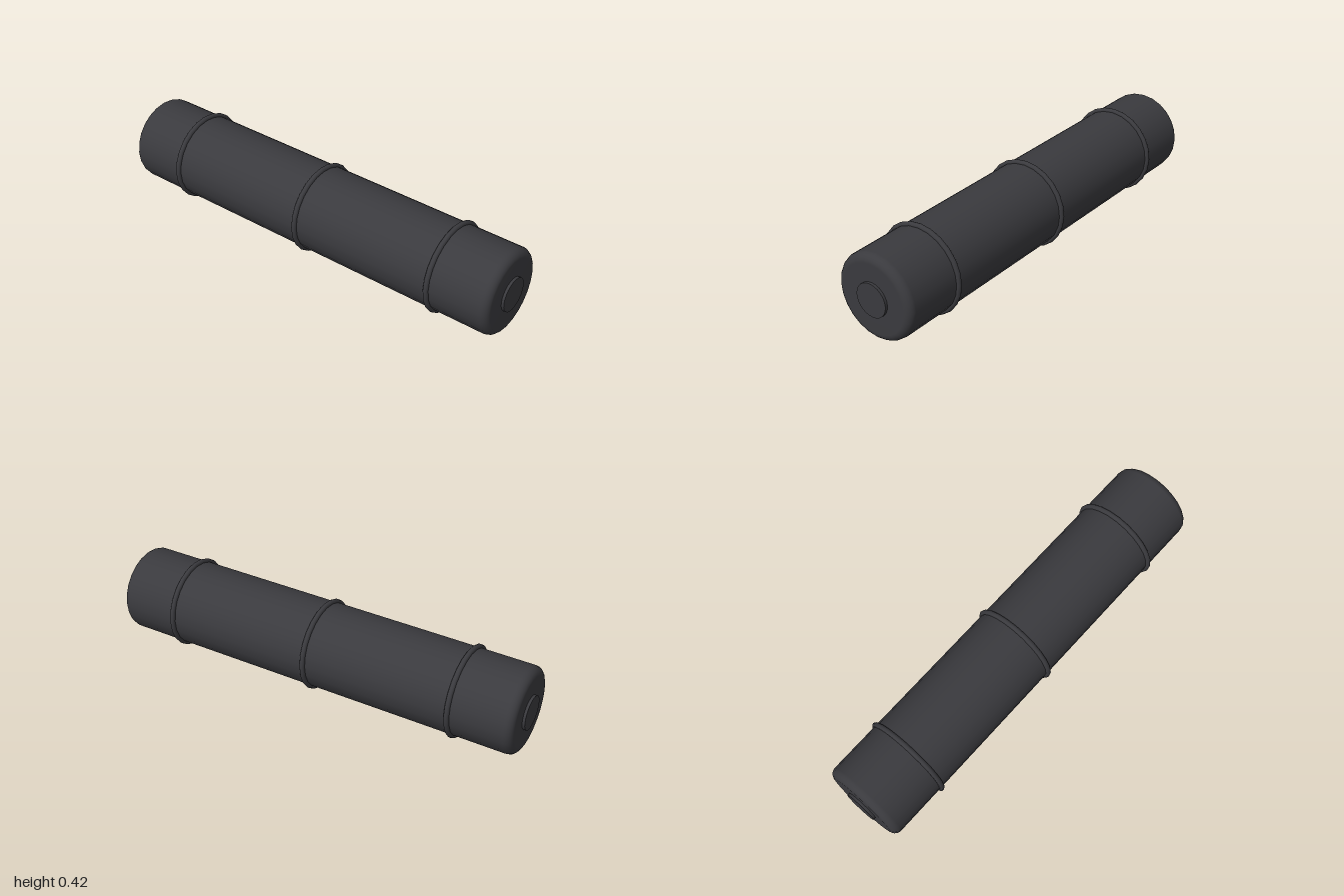
import * as THREE from 'three';

const SEGMENTS = 24;
const AXIS_HEIGHT = 0.212;

// Closed solid turned around the z axis from [radius, z] points
function turned(points) {
  const profile = points.map(([r, z]) => new THREE.Vector2(r, z));
  return new THREE.LatheGeometry(profile, SEGMENTS).rotateX(Math.PI / 2);
}

export function createModel() {
  const model = new THREE.Group();
  const charcoal = new THREE.MeshStandardMaterial({ color: 0x3a3a3e });
  charcoal.name = 'charcoal';

  const add = (name, geometry, z = 0) => {
    const mesh = new THREE.Mesh(geometry, charcoal);
    mesh.name = name;
    mesh.position.set(0, AXIS_HEIGHT, z);
    model.add(mesh);
  };

  // Long cylindrical body with rounded rims
  const radius = 0.197, half = 0.988, bevel = 0.036;
  const rim = [];
  for (let i = 0; i <= 5; i++) {
    const a = (i / 5) * Math.PI / 2;
    rim.push([radius - bevel + bevel * Math.cos(a), half - bevel + bevel * Math.sin(a)]);
  }
  const upper = [...rim, [0, half]];
  const lower = upper.map(([r, z]) => [r, -z]).reverse();
  add('body', turned([...lower, ...upper]));

  // Three raised rings
  for (const z of [-0.7, 0, 0.7]) {
    add('ring', new THREE.TorusGeometry(0.2, 0.012, 10, SEGMENTS), z);
  }

  // Low round button at each end
  for (const side of [-1, 1]) {
    const button = new THREE.CylinderGeometry(0.078, 0.078, 0.03, SEGMENTS).rotateX(Math.PI / 2);
    add(side > 0 ? 'frontButton' : 'backButton', button, side * 0.985);
  }
  return model;
}
